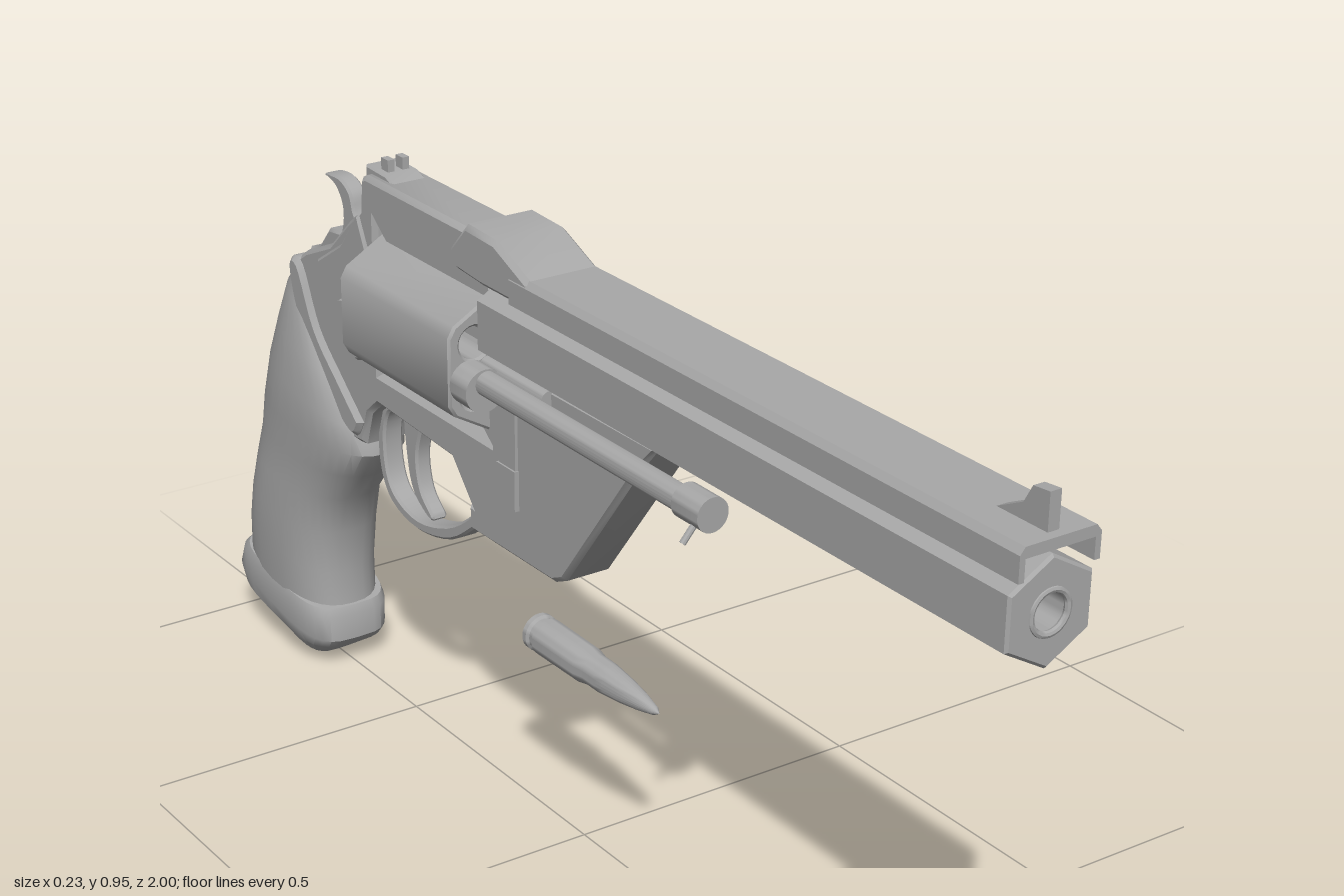
import * as THREE from 'three';
import { toCreasedNormals } from 'three/addons/utils/BufferGeometryUtils.js';

const steel = new THREE.MeshStandardMaterial({ color: 0xa8a8a8 });
steel.name = 'gray steel';

const v2 = ([a, b]) => new THREE.Vector2(a, b);
const smooth = (pts, n = 40) => new THREE.SplineCurve([...pts, pts[0]].map(v2)).getPoints(n).slice(0, -1);

export function createModel() {
  const model = new THREE.Group();

  const add = (name, geo, x = 0, y = 0, z = 0) => {
    const mesh = new THREE.Mesh(toCreasedNormals(geo, 0.6), steel);
    mesh.name = name;
    mesh.position.set(x, y, z);
    model.add(mesh);
    return mesh;
  };

  // outline extruded with a bevel that stays inside the outline
  const extrude = (points, depth, bevel, holes = []) => {
    const shape = new THREE.Shape(points);
    shape.holes = holes.map((h) => new THREE.Path(h));
    const geo = new THREE.ExtrudeGeometry(shape, {
      depth: depth - 2 * bevel, bevelEnabled: bevel > 0, bevelThickness: bevel,
      bevelSize: bevel, bevelOffset: -bevel, bevelSegments: 1, curveSegments: 8,
    });
    return geo.translate(0, 0, bevel - depth / 2);
  };
  // side profile of (z, y) points, given a full width along x
  const side = (name, pts, width, bevel = 0, holes = []) =>
    add(name, extrude(pts, width, bevel, holes).rotateY(-Math.PI / 2));
  // front profile of (x, y) points running from z0 to z1
  const along = (name, pts, z0, z1, bevel = 0, holes = []) =>
    add(name, extrude(pts, z1 - z0, bevel, holes), 0, 0, (z0 + z1) / 2);
  // round bar along z
  const bar = (name, x, y, z0, z1, rBack, rFront = rBack) =>
    add(name, new THREE.CylinderGeometry(rFront, rBack, z1 - z0, 28).rotateX(Math.PI / 2), x, y, (z0 + z1) / 2);
  const circle = (cx, cy, r, n = 24) => Array.from({ length: n }, (_, i) => {
    const a = (i / n) * Math.PI * 2;
    return new THREE.Vector2(cx + r * Math.cos(a), cy + r * Math.sin(a));
  });
  const hexagon = (cy, r) => circle(0, 0, r, 6).map((p) => new THREE.Vector2(p.y, cy + p.x)).reverse();

  // skin over rounded sections: [front z, front y, back z, back y, half width]
  const loft = (name, sections, power) => {
    const N = 32, pos = [], idx = [];
    const bend = (t) => Math.sign(t) * Math.pow(Math.abs(t), 2 / power);
    for (const [fz, fy, bz, by, w] of sections) {
      for (let i = 0; i < N; i++) {
        const a = (i / N) * Math.PI * 2, c = bend(Math.cos(a)), s = bend(Math.sin(a));
        pos.push(w * s, (fy + by) / 2 + c * (by - fy) / 2, (fz + bz) / 2 + c * (bz - fz) / 2);
      }
    }
    const last = sections.length - 1;
    for (const k of [0, last]) {
      const [fz, fy, bz, by] = sections[k];
      pos.push(0, (fy + by) / 2, (fz + bz) / 2);
    }
    const top = (last + 1) * N;
    for (let i = 0; i < N; i++) {
      const j = (i + 1) % N;
      for (let k = 0; k < last; k++) {
        const a = k * N, b = a + N;
        idx.push(a + i, a + j, b + i, a + j, b + j, b + i);
      }
      idx.push(top, j, i, top + 1, last * N + i, last * N + j);
    }
    const geo = new THREE.BufferGeometry();
    geo.setAttribute('position', new THREE.Float32BufferAttribute(pos, 3));
    geo.setIndex(idx);
    geo.computeVertexNormals();
    return add(name, geo);
  };

  // barrel, muzzle ring and the channel-shaped rib above it
  along('barrel', hexagon(0.797, 0.077), -0.185, 0.99, 0.004, [circle(0, 0.797, 0.027)]);
  add('muzzleRing', new THREE.TorusGeometry(0.03, 0.005, 8, 28), 0, 0.797, 0.988);
  along('barrelRib', [[-0.064, 0.855], [-0.055, 0.855], [-0.055, 0.886], [0.055, 0.886], [0.055, 0.855],
    [0.064, 0.855], [0.064, 0.892], [0.056, 0.902], [-0.056, 0.902], [-0.064, 0.892]].map(v2), -0.1, 1.0);
  side('ribHump', [[-0.05, 0.857], [-0.05, 0.9], [-0.14, 0.937], [-0.22, 0.94], [-0.268, 0.89],
    [-0.25, 0.862], [-0.18, 0.857]].map(v2), 0.126, 0.008);

  // sights
  side('frontSight', [[0.985, 0.895], [0.985, 0.955], [0.955, 0.952], [0.94, 0.925], [0.88, 0.895]].map(v2), 0.018);
  side('rearSightBase', [[-0.46, 0.915], [-0.5, 0.93], [-0.56, 0.932], [-0.56, 0.9], [-0.46, 0.9]].map(v2), 0.06, 0.003);
  for (const x of [-0.013, 0.013]) add('rearSightPost', new THREE.BoxGeometry(0.012, 0.025, 0.02), x, 0.937, -0.52);

  // frame with the window for the drum
  side('frame', [[0.24, 0.745], [0.2, 0.7], [0.01, 0.45], [-0.02, 0.436], [-0.19, 0.434], [-0.225, 0.45], [-0.3, 0.535],
    [-0.52, 0.545], [-0.55, 0.52], [-0.57, 0.46], [-0.65, 0.45], [-0.75, 0.53], [-0.79, 0.63], [-0.785, 0.71],
    [-0.74, 0.74], [-0.66, 0.775], [-0.6, 0.83], [-0.56, 0.86], [-0.555, 0.915], [-0.54, 0.922],
    [-0.23, 0.922], [-0.18, 0.87], [-0.17, 0.745]].map(v2), 0.088, 0.008,
  [[[-0.187, 0.6], [-0.187, 0.86], [-0.515, 0.86], [-0.515, 0.6]].map(v2)]);
  side('frameFoot', [[-0.12, 0.44], [-0.12, 0.422], [-0.28, 0.42], [-0.28, 0.46]].map(v2), 0.05, 0.004);
  side('gripCollar', smooth([[-0.565, 0.5], [-0.63, 0.555], [-0.7, 0.62], [-0.75, 0.715], [-0.785, 0.71],
    [-0.765, 0.63], [-0.7, 0.54], [-0.6, 0.47]]), 0.106, 0.008);
  side('rearShoulder', [[-0.56, 0.86], [-0.53, 0.8], [-0.53, 0.62], [-0.58, 0.6], [-0.65, 0.65],
    [-0.7, 0.74], [-0.62, 0.79]].map(v2), 0.098, 0.008);

  // crane slot, latch pins and side buttons
  add('craneArm', new THREE.BoxGeometry(0.098, 0.2, 0.045), 0, 0.62, -0.133);
  for (const s of [1, -1]) {
    add('craneCatch', new THREE.BoxGeometry(0.012, 0.065, 0.05), s * 0.046, 0.552, -0.133);
    bar('latchPin', s * 0.047, 0.729, -0.185, -0.02, 0.015);
    add('sideButton', new THREE.CylinderGeometry(0.03, 0.034, 0.012, 20).rotateZ(-s * Math.PI / 2), s * 0.051, 0.67, -0.6);
  }

  // six-sided drum with clipped corners and six chambers
  const corners = hexagon(0.728, 0.131);
  const clipped = corners.flatMap((p, i) => [corners[(i + 5) % 6], corners[(i + 1) % 6]].map((q) => p.clone().lerp(q, 0.09)));
  const chambers = corners.map((p) => circle(p.x * 0.6, 0.728 + (p.y - 0.728) * 0.6, 0.026, 20));
  along('drum', clipped, -0.505, -0.187, 0.004, chambers);
  bar('drumRatchet', 0, 0.728, -0.525, -0.5, 0.03);
  bar('recoilPlate', 0, 0.728, -0.53, -0.515, 0.092, 0.098);
  bar('recoilTaper', 0, 0.728, -0.565, -0.53, 0.05, 0.09);

  // ejector rod on the right
  bar('ejectorRod', -0.078, 0.722, -0.185, 0.38, 0.019);
  bar('ejectorHead', -0.078, 0.725, 0.36, 0.42, 0.026);
  bar('ejectorSocket', -0.08, 0.71, -0.185, -0.14, 0.034);
  add('ejectorPin', new THREE.CylinderGeometry(0.005, 0.005, 0.04, 10), -0.1, 0.7, 0.4).rotation.z = -0.7;

  // trigger, guard and hammer
  side('triggerGuard', smooth([[-0.225, 0.46], [-0.27, 0.425], [-0.35, 0.37], [-0.45, 0.348], [-0.53, 0.367], [-0.565, 0.42],
    [-0.565, 0.5], [-0.52, 0.555], [-0.4, 0.56], [-0.29, 0.55]]), 0.036, 0.004,
  [smooth([[-0.275, 0.465], [-0.29, 0.435], [-0.36, 0.39], [-0.45, 0.367], [-0.52, 0.385], [-0.546, 0.43],
    [-0.545, 0.5], [-0.51, 0.535], [-0.4, 0.538], [-0.31, 0.525]]).reverse()]);
  side('trigger', smooth([[-0.43, 0.55], [-0.455, 0.48], [-0.445, 0.42], [-0.41, 0.385], [-0.425, 0.378], [-0.47, 0.41],
    [-0.488, 0.47], [-0.49, 0.55]]), 0.028, 0.004);
  side('hammer', smooth([[-0.58, 0.76], [-0.59, 0.82], [-0.625, 0.825], [-0.64, 0.86], [-0.675, 0.877], [-0.72, 0.87],
    [-0.685, 0.858], [-0.665, 0.83], [-0.67, 0.79], [-0.7, 0.74]]), 0.03, 0.004);
  side('hammerRest', [[-0.66, 0.74], [-0.66, 0.79], [-0.7, 0.785], [-0.735, 0.745], [-0.765, 0.735], [-0.765, 0.7]].map(v2), 0.044, 0.005);

  // grip and base cap
  loft('grip', [[-0.75, 0.675, -0.785, 0.715, 0.04], [-0.705, 0.61, -0.825, 0.675, 0.053], [-0.64, 0.54, -0.858, 0.605, 0.066],
    [-0.585, 0.475, -0.888, 0.53, 0.077], [-0.578, 0.43, -0.912, 0.45, 0.08], [-0.615, 0.38, -0.925, 0.39, 0.077],
    [-0.67, 0.32, -0.94, 0.33, 0.08], [-0.693, 0.25, -0.955, 0.27, 0.084], [-0.705, 0.17, -0.968, 0.21, 0.084],
    [-0.698, 0.09, -0.976, 0.14, 0.081]], 2.5);
  loft('gripCap', [[-0.695, 0.11, -0.97, 0.15, 0.079], [-0.688, 0.095, -0.985, 0.138, 0.083], [-0.688, 0.05, -1.0, 0.105, 0.083],
    [-0.7, 0.035, -0.985, 0.078, 0.081], [-0.755, 0.0, -0.965, 0.062, 0.055]], 3.6);

  // loose cartridge lying below the barrel
  const profile = [[0, -0.125], [0.03, -0.125], [0.03, -0.116], [0.026, -0.112], [0.026, -0.104], [0.03, -0.1], [0.029, 0.01],
    [0.025, 0.03], [0.025, 0.06], [0.023, 0.08], [0.02, 0.11], [0.014, 0.15], [0.007, 0.183], [0, 0.195]].map(v2);
  add('cartridge', new THREE.LatheGeometry(profile, 28).rotateX(Math.PI / 2), 0, 0.3, 0);

  return model;
}
